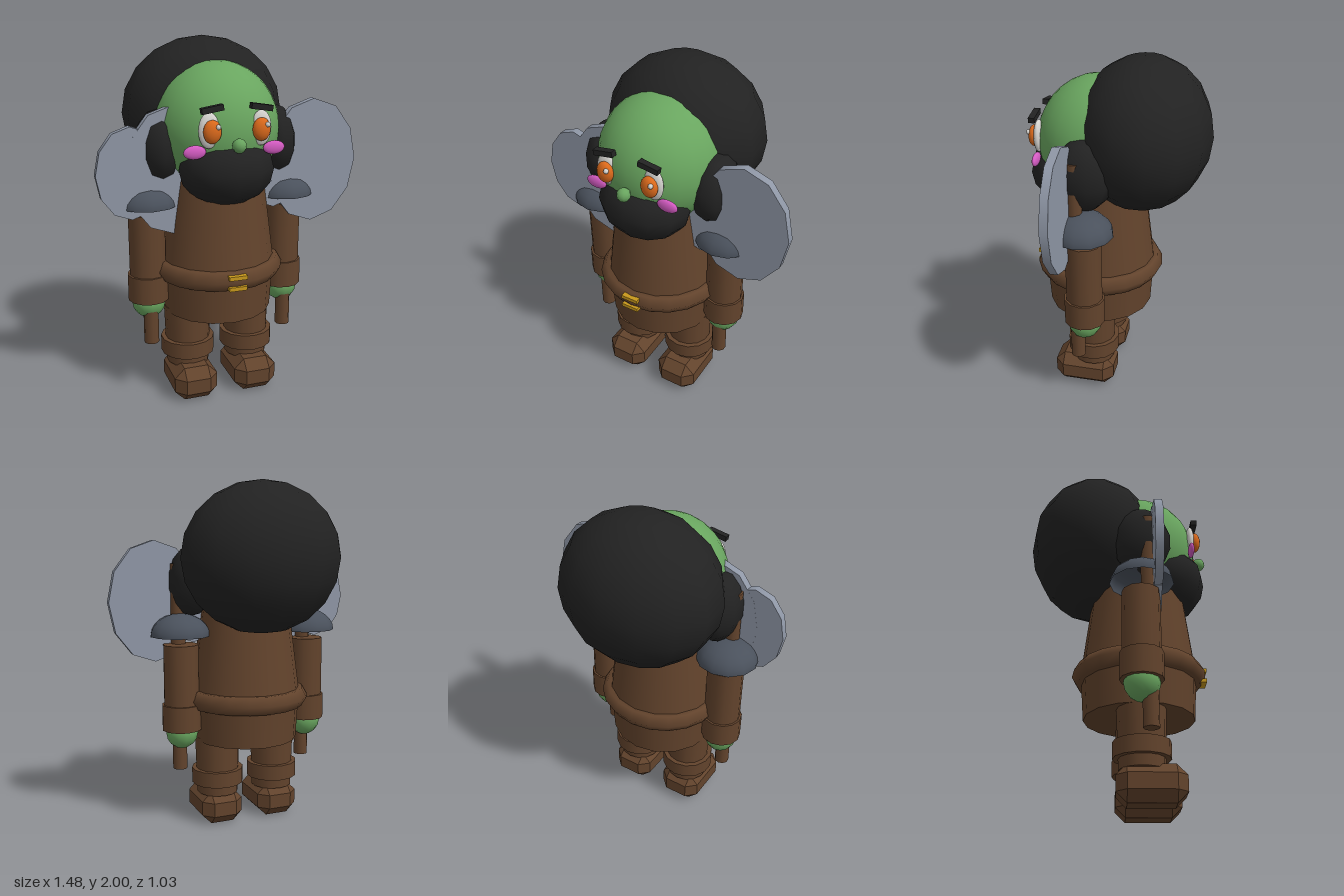
import * as THREE from 'three';
import { ConvexGeometry } from 'three/addons/geometries/ConvexGeometry.js';

const paint = (name, color) => {
  const m = new THREE.MeshStandardMaterial({ color });
  m.name = name;
  return m;
};

export function createModel() {
  const green = paint('green skin', 0x69a55f);
  const black = paint('black hair', 0x222222);
  const brown = paint('brown leather', 0x62432c);
  const steel = paint('light steel', 0x8f97a6);
  const iron = paint('dark iron', 0x4a515c);
  iron.side = THREE.DoubleSide;
  const gold = paint('gold', 0xc8981c);
  const orange = paint('orange iris', 0xdc6a1c);
  const white = paint('eye white', 0xd6d4d0);
  const pink = paint('pink cheek', 0xd65cc4);

  const model = new THREE.Group();
  model.name = 'character';
  const body = new THREE.Group();
  body.name = 'body';
  body.position.x = -0.06; // the blades reach further on one side
  model.add(body);

  const add = (name, geo, mat, x, y, z) => {
    const mesh = new THREE.Mesh(geo, mat);
    mesh.name = name;
    mesh.position.set(x, y, z);
    body.add(mesh);
    return mesh;
  };
  // ellipsoid from three radii
  const ball = (name, mat, x, y, z, rx, ry, rz, seg = 16, rings = 12) =>
    add(name, new THREE.SphereGeometry(1, seg, rings).rotateY(Math.PI / 2).scale(rx, ry, rz), mat, x, y, z);
  // upright tube between two heights
  const tube = (name, mat, x, z, y0, y1, r0, r1 = r0, seg = 16) =>
    add(name, new THREE.CylinderGeometry(r1, r0, y1 - y0, seg), mat, x, (y0 + y1) / 2, z);
  // box with every edge cut off
  const chamferBox = (w, h, d, c) => {
    const pts = [];
    for (const sx of [-1, 1]) for (const sy of [-1, 1]) for (const sz of [-1, 1])
      for (const [a, b, e] of [[0, c, c], [c, 0, c], [c, c, 0]])
        pts.push(new THREE.Vector3(sx * (w / 2 - a), sy * (h / 2 - b), sz * (d / 2 - e)));
    return new ConvexGeometry(pts);
  };

  // head, hair and beard
  ball('head', green, 0, 1.53, 0.1, 0.345, 0.355, 0.35, 24, 18);
  ball('hair', black, 0, 1.577, -0.14, 0.46, 0.423, 0.38, 14, 10);
  ball('beard', black, 0, 1.34, 0.28, 0.262, 0.205, 0.22, 12, 8);
  ball('nose', green, 0, 1.49, 0.478, 0.037, 0.038, 0.037, 10, 8);

  // torso, tunic skirt and belt
  tube('torso', brown, 0, 0.11, 0.73, 1.29, 0.33, 0.258);
  tube('skirt', brown, 0, 0.11, 0.5, 0.75, 0.307, 0.322);
  add('belt', new THREE.TorusGeometry(0.313, 0.06, 6, 20).rotateX(Math.PI / 2), brown, 0, 0.755, 0.11);
  for (const y of [0.723, 0.783])
    add('buckleBar', new THREE.BoxGeometry(0.1, 0.022, 0.06), gold, 0, y, 0.455);

  for (const s of [-1, 1]) {
    // face
    ball('eyeWhite', white, s * 0.14, 1.565, 0.415, 0.056, 0.092, 0.026);
    ball('iris', orange, s * 0.131, 1.562, 0.443, 0.048, 0.06, 0.032);
    ball('eyeGlint', white, s * 0.131 + 0.024, 1.588, 0.468, 0.014, 0.014, 0.014, 8, 6);
    ball('cheek', pink, s * 0.214, 1.458, 0.412, 0.06, 0.036, 0.018);
    add('eyebrow', new THREE.BoxGeometry(0.115, 0.03, 0.035), black, s * 0.131, 1.675, 0.438)
      .rotation.z = -s * 0.16;
    ball('sideHair', black, s * 0.33, 1.44, 0.12, 0.125, 0.2, 0.165, 10, 7);

    // arm
    const ax = s * 0.4;
    tube('arm', brown, ax, 0.11, 0.7, 1.08, 0.103, 0.103, 12);
    tube('cuff', brown, ax, 0.11, 0.58, 0.73, 0.115, 0.115, 12);
    ball('hand', green, ax, 0.565, 0.11, 0.095, 0.098, 0.095, 12, 8);
    add('shoulderGuard',
      new THREE.SphereGeometry(1, 12, 6, 0, Math.PI * 2, 0, Math.PI / 2).scale(0.175, 0.128, 0.172),
      iron, ax, 1.13, 0.115);

    // axe: long handle, one large and one small oval blade
    tube('axeHandle', brown, ax, 0.153, 0.33, 1.54, 0.042, 0.042, 10);
    for (const [name, dx, rx, ry, t] of [['largeBlade', 0.13, 0.265, 0.347, 0.045], ['smallBlade', -0.1, 0.185, 0.247, 0.044]])
      add(name, new THREE.CylinderGeometry(1, 1, t, 12).rotateX(Math.PI / 2).scale(rx, ry, 1),
        steel, ax + dx, 1.325, 0.198);

    // leg and boot
    const lx = s * 0.178;
    tube('leg', brown, lx, 0.115, 0.175, 0.52, 0.122, 0.133, 14);
    tube('legBand', brown, lx, 0.115, 0.235, 0.325, 0.153, 0.153, 14);
    add('boot', chamferBox(0.25, 0.195, 0.36, 0.056), brown, lx, 0.0975, 0.16);
  }
  return model;
}
